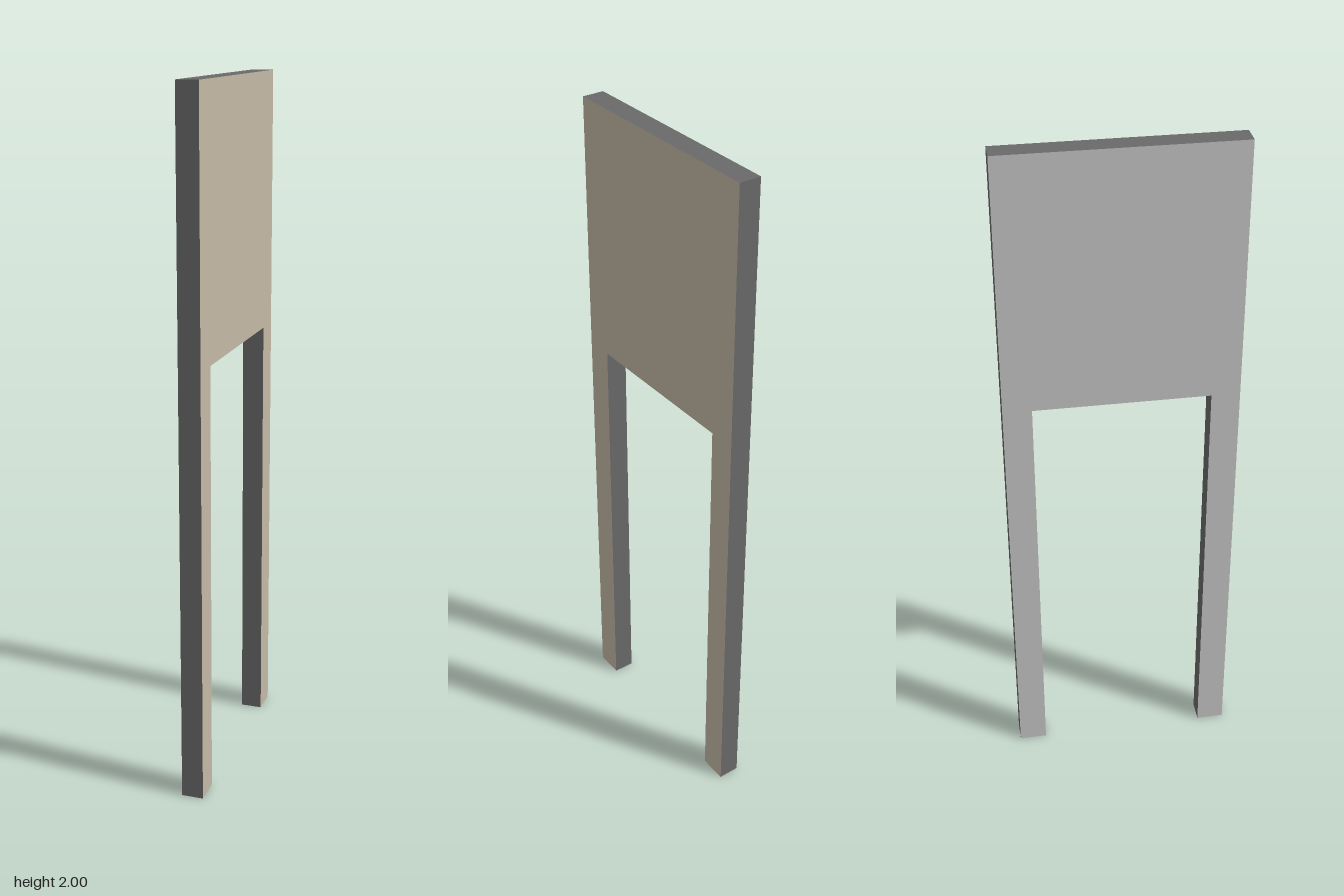
import * as THREE from 'three';

const HALF_DEPTH = 0.333; // along z
const LEG_INNER = 0.251;
const OPENING_TOP = 1.255;
const HEIGHT = 2;
const THICKNESS = 0.063; // along x

export function createModel() {
  const material = (name, color) => {
    const m = new THREE.MeshStandardMaterial({ color });
    m.name = name;
    return m;
  };
  const edge = material('darkGreyEdge', 0x6a6a6a);
  const tan = material('tanFace', 0xc5b9a6);
  const grey = material('lightGreyFace', 0xc5c5c5);

  // Upright panel on two legs, drawn as one outline
  const outline = new THREE.Shape([
    [-HALF_DEPTH, 0], [-LEG_INNER, 0], [-LEG_INNER, OPENING_TOP], [LEG_INNER, OPENING_TOP],
    [LEG_INNER, 0], [HALF_DEPTH, 0], [HALF_DEPTH, HEIGHT], [-HALF_DEPTH, HEIGHT],
  ].map(([x, y]) => new THREE.Vector2(x, y)));

  const geometry = new THREE.ExtrudeGeometry(outline, { depth: THICKNESS, bevelEnabled: false });
  geometry.translate(0, 0, -THICKNESS / 2);
  geometry.rotateY(Math.PI / 2);

  // Split the two flat faces: right side (-x) grey, left side (+x) tan, rim dark
  const [caps, rim] = geometry.groups;
  const half = caps.count / 2;
  geometry.clearGroups();
  geometry.addGroup(caps.start, half, 0);
  geometry.addGroup(caps.start + half, half, 1);
  geometry.addGroup(rim.start, rim.count, 2);

  const panel = new THREE.Mesh(geometry, [grey, tan, edge]);
  panel.name = 'panelWithLegs';

  const group = new THREE.Group();
  group.name = 'leggedPanel';
  group.add(panel);
  return group;
}
